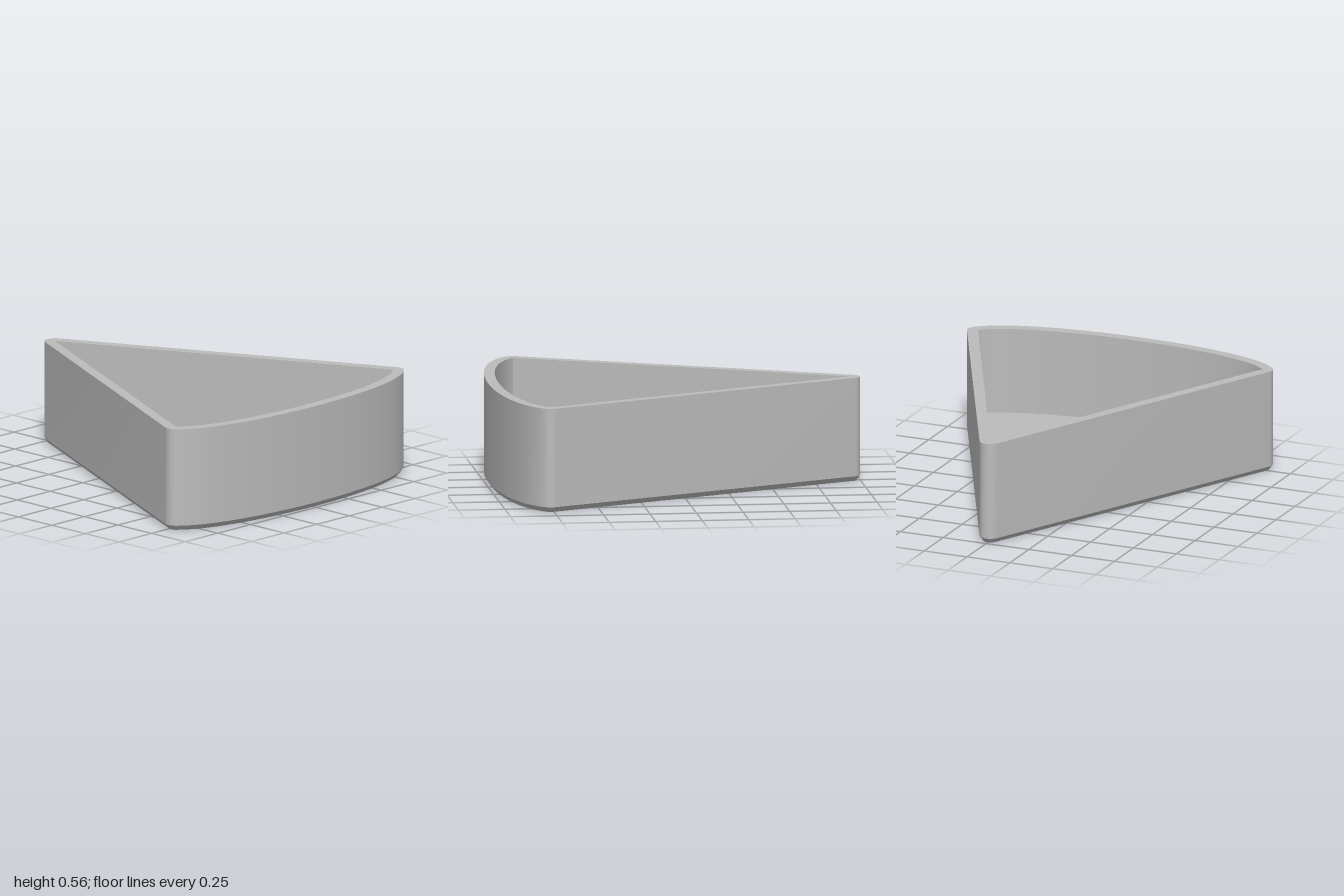
import * as THREE from 'three';
import { toCreasedNormals } from 'three/addons/utils/BufferGeometryUtils.js';

const V = (x, y) => new THREE.Vector2(x, y);
const WALL = 0.058, HEIGHT = 0.56, FLOOR = 0.09, POST_TOP = 0.256;

// Wedge outline as base points with outward angles, counter-clockwise (shape y = -z)
const apex = V(0, 0.942), left = V(-0.83, -0.765), right = V(0.83, -0.765);
const bow = new THREE.CubicBezierCurve(left, V(-0.6, -1.001), V(0.6, -1.001), right);
const sideAngle = Math.atan2(0.83, 1.707);
const bowAngle = Math.atan2(0.23, 0.236);
const outline = [];
function fan(p, from, to, n = 10) {
  for (let i = 0; i <= n; i++) outline.push({ p, a: from + (to - from) * i / n });
}
fan(apex, sideAngle, Math.PI - sideAngle);
fan(left, Math.PI - sideAngle, 1.5 * Math.PI - bowAngle);
for (let i = 1; i < 40; i++) {
  const t = bow.getTangent(i / 40);
  outline.push({ p: bow.getPoint(i / 40), a: Math.atan2(-t.x, t.y) });
}
fan(right, 1.5 * Math.PI + bowAngle, 2 * Math.PI + sideAngle);

const offsetOutline = d => outline.map(({ p, a }) => V(p.x + d * Math.cos(a), p.y + d * Math.sin(a)));

// Outline as a shape, without repeated points
function wedgeShape(d) {
  const pts = offsetOutline(d);
  return new THREE.Shape(pts.filter((p, i) => p.distanceTo(pts[(i + 1) % pts.length]) > 1e-5));
}

// Skin through a series of [offset, height] rings
function loft(rings) {
  const loops = rings.map(([d, y]) => offsetOutline(d).map(p => new THREE.Vector3(p.x, y, -p.y)));
  const pos = [];
  const tri = (a, b, c) => {
    const area = b.clone().sub(a).cross(c.clone().sub(a)).length();
    if (area > 1e-9) for (const v of [a, b, c]) pos.push(v.x, v.y, v.z);
  };
  for (let r = 0; r + 1 < loops.length; r++) {
    const lo = loops[r], up = loops[r + 1], n = lo.length;
    for (let i = 0; i < n; i++) {
      const j = (i + 1) % n;
      tri(lo[i], lo[j], up[j]);
      tri(lo[i], up[j], up[i]);
    }
  }
  const g = new THREE.BufferGeometry();
  g.setAttribute('position', new THREE.Float32BufferAttribute(pos, 3));
  return toCreasedNormals(g, 0.5);
}

// Upright extrusion from height y0 to y1
function prism(shape, y0, y1) {
  const g = new THREE.ExtrudeGeometry(shape, { depth: y1 - y0, bevelEnabled: false, curveSegments: 24 });
  g.rotateX(-Math.PI / 2).translate(0, y0, 0);
  return toCreasedNormals(g, 0.5);
}

export function createModel() {
  const model = new THREE.Group();
  model.name = 'wedgeTray';
  const grey = new THREE.MeshStandardMaterial({ color: 0xbcbcbc });
  grey.name = 'grey';
  const add = (name, geometry) => {
    const m = new THREE.Mesh(geometry, grey);
    m.name = name;
    model.add(m);
    return m;
  };

  // Walls with chamfered foot and flat rim
  add('walls', loft([[0.036, 0], [0.046, 0.012], [WALL, 0.028], [WALL, HEIGHT], [0, HEIGHT], [0, FLOOR]]));

  // Inside floor
  add('floor', new THREE.ShapeGeometry(wedgeShape(0)).rotateX(-Math.PI / 2).translate(0, FLOOR, 0));

  // Underside with a narrow slot between the front corners
  const base = wedgeShape(0.036);
  const slot = new THREE.Path();
  slot.absarc(0.81, -0.765, 0.012, -Math.PI / 2, Math.PI / 2, false);
  slot.absarc(-0.81, -0.765, 0.012, Math.PI / 2, 1.5 * Math.PI, false);
  base.holes.push(slot);
  add('underside', prism(base, 0, 0.02));
  add('slotCeiling', new THREE.BoxGeometry(1.66, 0.01, 0.04)).position.set(0, 0.024, 0.765);

  // Round post with a cross-shaped socket
  const post = new THREE.Shape().absarc(0, 0, 0.105, 0, Math.PI * 2, false);
  const L = 0.079, W = 0.033;
  post.holes.push(new THREE.Path([
    V(W, W), V(W, L), V(-W, L), V(-W, W), V(-L, W), V(-L, -W),
    V(-W, -W), V(-W, -L), V(W, -L), V(W, -W), V(L, -W), V(L, W),
  ]));
  add('post', prism(post, FLOOR, POST_TOP)).position.z = 0.14;

  return model;
}
